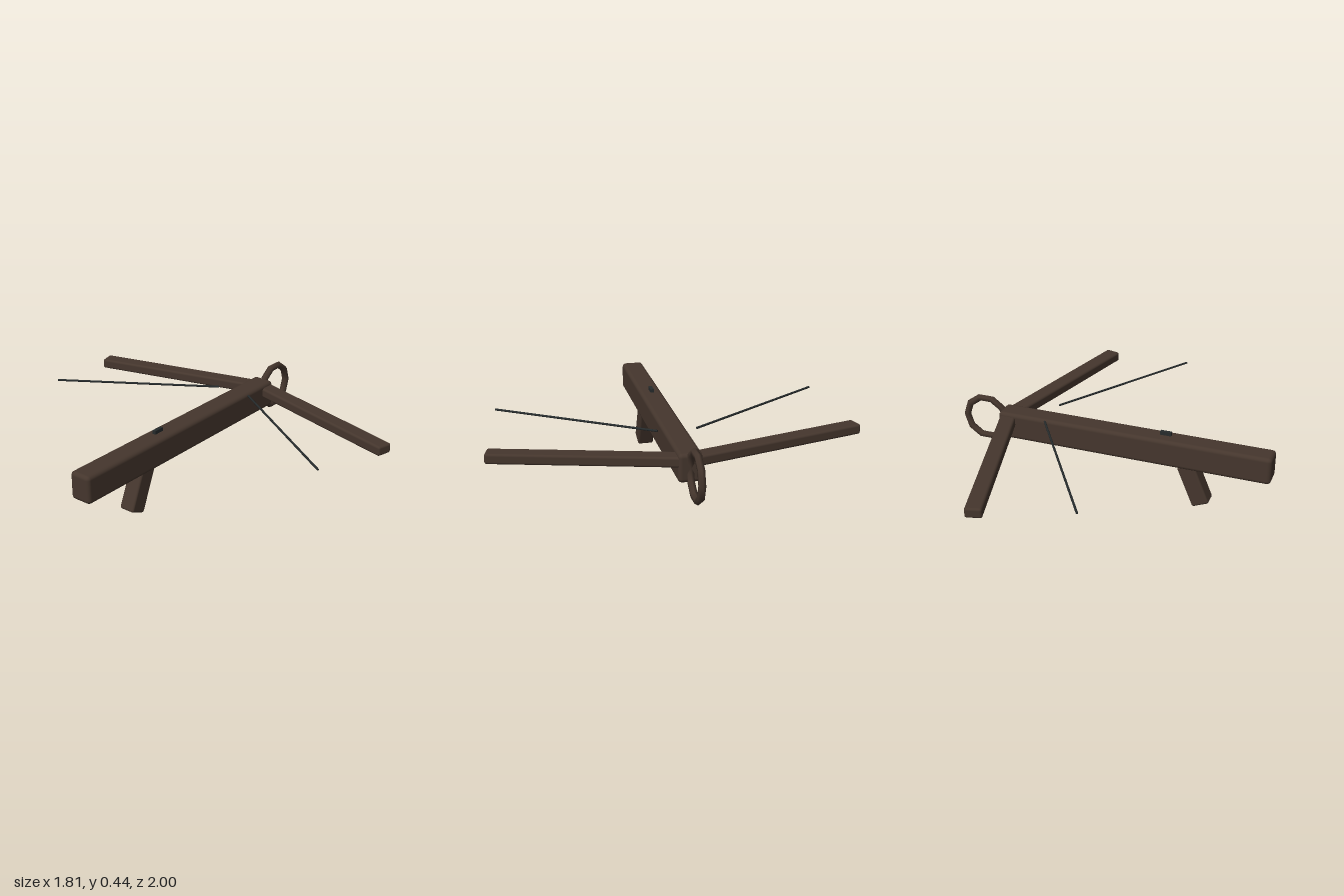
import * as THREE from 'three';
import { RoundedBoxGeometry } from 'three/addons/geometries/RoundedBoxGeometry.js';

export function createModel() {
  const wood = new THREE.MeshStandardMaterial({ color: 0x45362d });
  wood.name = 'dark brown wood';
  const cord = new THREE.MeshStandardMaterial({ color: 0x262b2c });
  cord.name = 'black cord';

  const model = new THREE.Group();
  model.name = 'crossbow';

  const add = (name, geometry, material, x, y, z) => {
    const mesh = new THREE.Mesh(geometry, material);
    mesh.name = name;
    mesh.position.set(x, y, z);
    model.add(mesh);
    return mesh;
  };
  const block = (w, h, d, r) => new RoundedBoxGeometry(w, h, d, 2, r);

  // Long stock and the slanted grip below it
  add('stock', block(1.565, 0.156, 0.126, 0.022), wood, -0.123, 0.315, 0);
  add('grip', block(0.1, 0.25, 0.092, 0.012), wood, -0.481, 0.139, 0).rotation.z = -0.4;

  // Faceted foot stirrup at the nose
  const ring = new THREE.TorusGeometry(0.122, 0.02, 6, 10);
  add('stirrup', ring, wood, 0.763, 0.316, 0);

  // Small sight on top
  add('sight', new THREE.BoxGeometry(0.062, 0.02, 0.02), cord, -0.31, 0.41, 0);

  // Swept limbs and string halves, mirrored across the stock
  for (const side of [1, -1]) {
    const label = side > 0 ? 'front' : 'back';
    const limb = add(label + 'Limb', block(0.09, 0.056, 1.0, 0.013), wood, 0.483, 0.346, side * 0.507);
    limb.rotation.y = -side * 0.262;

    const dx = 0.355 + 0.155, dz = 0.9 - 0.105;
    const string = add(label + 'String', new THREE.CylinderGeometry(0.006, 0.006, Math.hypot(dx, dz), 8),
      cord, 0.1, 0.41, side * 0.5025);
    string.quaternion.setFromUnitVectors(new THREE.Vector3(0, 1, 0),
      new THREE.Vector3(-dx, 0, side * dz).normalize());
  }
  return model;
}
